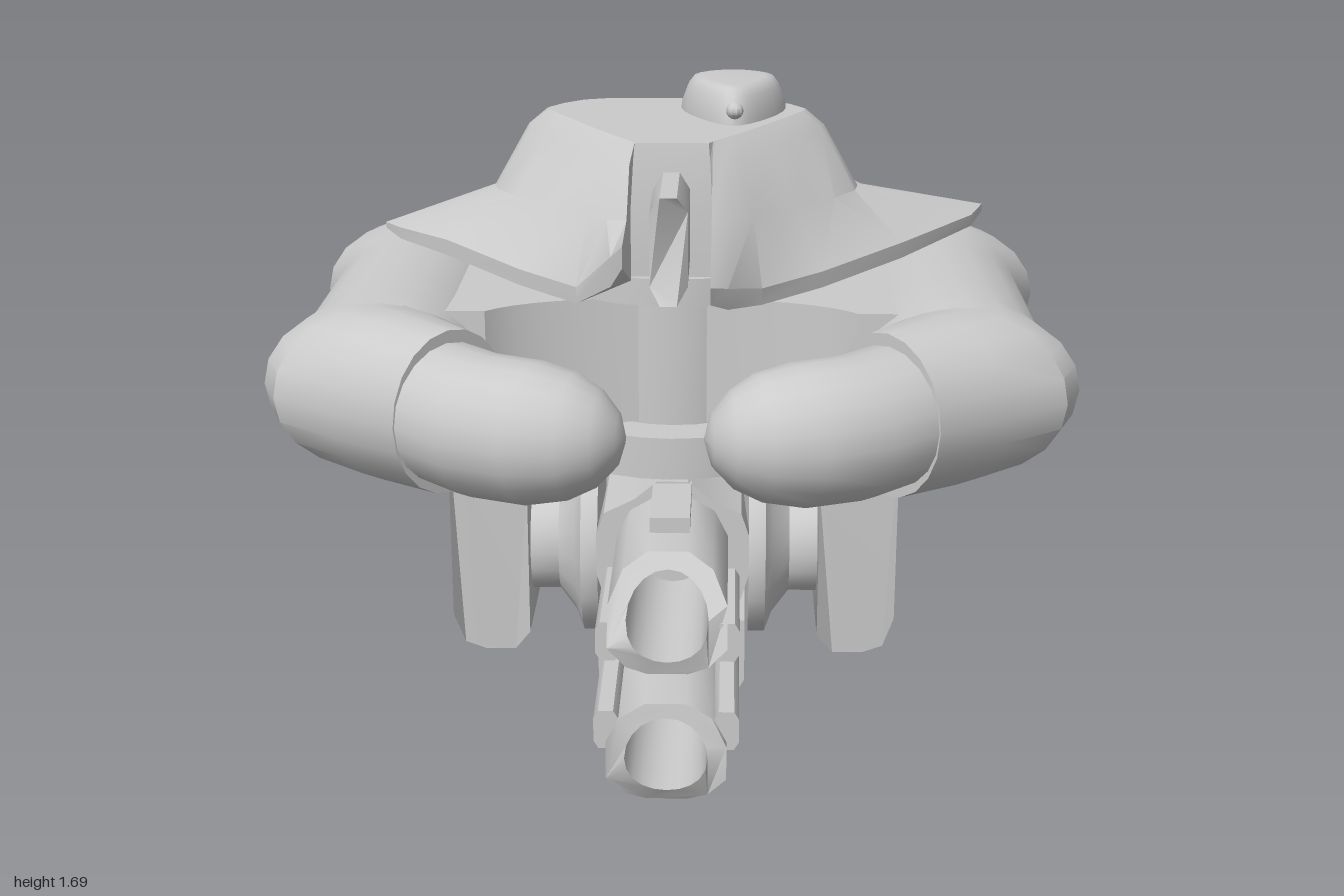
import * as THREE from 'three';
import { toCreasedNormals } from 'three/addons/utils/BufferGeometryUtils.js';

const V = (x, y, z) => new THREE.Vector3(x, y, z);
const material = new THREE.MeshStandardMaterial({ color: 0xcccccc, side: THREE.DoubleSide });

function add(parent, name, geometry, crease = 0.6) {
  const mesh = new THREE.Mesh(toCreasedNormals(geometry, crease), material);
  mesh.name = name;
  parent.add(mesh);
  return mesh;
}

// Skin a stack of closed rings, cap both ends and face it outwards.
function loft(rings, horizontalCaps = false) {
  const n = rings[0].length, pos = [], idx = [];
  rings.forEach(r => r.forEach(p => pos.push(p.x, p.y, p.z)));
  for (let k = 0; k < rings.length - 1; k++) {
    for (let i = 0; i < n; i++) {
      const a = k * n + i, b = k * n + (i + 1) % n;
      idx.push(a, b, b + n, a, b + n, a + n);
    }
  }
  const cap = (k, reverse) => {
    const flat = rings[k].map(p => new THREE.Vector2(p.x, horizontalCaps ? p.z : p.y));
    const flip = (THREE.ShapeUtils.area(flat) < 0) !== reverse;
    for (const [a, b, c] of THREE.ShapeUtils.triangulateShape(flat, [])) {
      idx.push(k * n + a, k * n + (flip ? c : b), k * n + (flip ? b : c));
    }
  };
  cap(0, true);
  cap(rings.length - 1, false);
  const at = i => V(pos[3 * i], pos[3 * i + 1], pos[3 * i + 2]);
  let volume = 0;
  for (let i = 0; i < idx.length; i += 3) volume += at(idx[i]).dot(at(idx[i + 1]).cross(at(idx[i + 2])));
  if (volume < 0) idx.reverse();
  const g = new THREE.BufferGeometry();
  g.setAttribute('position', new THREE.Float32BufferAttribute(pos, 3));
  g.setIndex(idx);
  return g;
}

// Extrude a half outline mirrored across x = 0, from z0 to z1.
function extrudeMirrored(half, z0, z1, hole) {
  const pts = [...half, ...half.map(([x, y]) => [-x, y]).reverse()];
  const shape = new THREE.Shape(pts.map(p => new THREE.Vector2(...p)));
  if (hole) shape.holes.push(new THREE.Path().absarc(0, hole[0], hole[1], 0, Math.PI * 2, true));
  return new THREE.ExtrudeGeometry(shape, { depth: z1 - z0, bevelEnabled: false, curveSegments: 10 }).translate(0, 0, z0);
}

function moveVertices(g, rule) {
  const p = g.attributes.position;
  for (let i = 0; i < p.count; i++) p.setXYZ(i, ...rule(p.getX(i), p.getY(i), p.getZ(i)));
  return g;
}

// Upright ring across a horizontal path; outer and inner reach can differ.
function podRing(s, [x, z, dx, dz, outer, inner, ry]) {
  const len = Math.hypot(dx, dz);
  return Array.from({ length: 20 }, (_, i) => {
    const a = i / 20 * Math.PI * 2, c = Math.cos(a), w = c * (c > 0 ? outer : inner);
    return V(s * (x + dx / len * w), 1.04 + Math.sin(a) * ry, z + dz / len * w);
  });
}

const ellipse = (x, y, z, rx, ry) => Array.from({ length: 20 }, (_, i) =>
  V(x + rx * Math.cos(i * Math.PI / 10), y + ry * Math.sin(i * Math.PI / 10), z));

function sidePod(s) {
  const pod = new THREE.Group();
  pod.name = s > 0 ? 'leftPod' : 'rightPod';
  // Bent housing with a ridge at each corner
  const half = [[0.51, 0.64, 0.67, 0.74, 0.175, 0.175, 0.2], [0.65, 0.52, 0.7, 0.71, 0.2, 0.22, 0.21],
    [0.72, 0.45, 0.92, 0.4, 0.25, 0.24, 0.205], [0.72, 0.42, 1, 0.06, 0.275, 0.245, 0.205],
    [0.72, 0.32, 1, 0, 0.225, 0.26, 0.208], [0.71, 0.18, 1, 0, 0.235, 0.25, 0.21]];
  const back = half.map(([x, z, dx, dz, ...r]) => [x, -z, dx, -dz, ...r]);
  add(pod, 'podHousing', loft([...back, ...half.slice().reverse()].map(r => podRing(s, r))), 0.5);
  // Rounded end arms
  for (const f of [-1, 1]) {
    const t = f > 0 ? [-0.06, 0] : [0, 0];
    const arm = [[0.54, 0.62, 0.67, 0.74, 0.165], [0.42, 0.735, 0.6, 0.8, 0.165],
      [0.33 + t[0] * 0.5, 0.785, 0.4, 0.9, 0.163], [0.27 + t[0], 0.805, 0.25, 0.97, 0.143],
      [0.21 + t[0], 0.815, 0.15, 1, 0.11], [0.165 + t[0], 0.82, 0.1, 1, 0.06], [0.15 + t[0], 0.82, 0.05, 1, 0.01]];
    add(pod, f > 0 ? 'frontArm' : 'rearArm',
      loft(arm.map(([x, z, dx, dz, r]) => podRing(s, [x, f * z, dx, f * dz, r, r, r * 1.03]))), 0.8);
  }
  return pod;
}

function hull() {
  // Columns around one side: rim x z y, underside y, mid x z y, top x z
  const side = [
    [0.10, 0.30, 1.30, 1.27, 0.10, 0.30, 1.45, 0.09, 0.28], [0.10, 0.73, 1.37, 1.33, 0.10, 0.50, 1.47, 0.10, 0.26],
    [0.14, 0.66, 1.35, 1.30, 0.15, 0.45, 1.46, 0.11, 0.24], [0.22, 0.51, 1.31, 1.27, 0.20, 0.37, 1.45, 0.15, 0.18],
    [0.37, 0.35, 1.31, 1.27, 0.30, 0.22, 1.44, 0.22, 0.06], [0.58, 0.10, 1.32, 1.28, 0.41, 0.03, 1.42, 0.29, -0.07],
    [0.79, -0.21, 1.32, 1.29, 0.47, -0.10, 1.41, 0.33, -0.15], [0.83, -0.32, 1.325, 1.305, 0.48, -0.16, 1.41, 0.34, -0.18],
    [0.59, -0.22, 1.35, 1.28, 0.47, -0.20, 1.41, 0.33, -0.20], [0.47, -0.32, 1.35, 1.27, 0.42, -0.28, 1.43, 0.30, -0.25],
    [0.40, -0.52, 1.36, 1.27, 0.34, -0.40, 1.45, 0.25, -0.30], [0.25, -0.60, 1.36, 1.27, 0.20, -0.43, 1.46, 0.18, -0.325]];
  // The other side has a raised prong and a shorter wing
  const other = side.map(c => [...c]);
  const change = { 1: [0.10, 0.71, 1.46, 1.41], 2: [0.13, 0.65, 1.42, 1.35], 6: [0.72, -0.03, 1.32, 1.29],
    7: [0.77, -0.11, 1.315, 1.30], 8: [0.60, -0.13, 1.34, 1.28] };
  for (const k in change) other[k].splice(0, 4, ...change[k]);
  const cols = [...side.map(c => [1, c]), ...other.reverse().map(c => [-1, c])];
  const rings = [[], [], [], [], []];
  for (const [s, [x, z, y, low, mx, mz, my, tx, tz]] of cols) {
    rings[0].push(V(s * x, low, z));
    rings[1].push(V(s * x, y, z));
    rings[2].push(V(s * mx, my, mz));
    rings[3].push(V(s * (mx * 0.35 + tx * 0.65), 1.57, mz * 0.35 + tz * 0.65));
    rings[4].push(V(s * tx, 1.61, tz));
  }
  return loft(rings, true);
}

function cannon() {
  const gun = new THREE.Group();
  gun.name = 'twinCannon';
  const upper = [[0.04, 0.71], [0.1, 0.66], [0.18, 0.62], [0.2, 0.56], [0.2, 0.45], [0.18, 0.38]];
  const lower = [[0.19, 0.37], [0.19, 0.2], [0.15, 0.13], [0.09, 0.07], [0.04, 0.01]];
  add(gun, 'upperHousing', extrudeMirrored(upper, -0.41, 0.22));
  add(gun, 'lowerHousing', extrudeMirrored(lower, -0.41, 0.33));
  // Tapered, hollow rear nozzles
  for (const [name, y0, rx, ry, y, r] of [['upperNozzle', 0.55, 0.19, 0.16, 0.565, 0.09], ['lowerNozzle', 0.195, 0.18, 0.185, 0.2, 0.12]]) {
    add(gun, name, loft([ellipse(0, y0, -0.4, rx, ry), ellipse(0, y, -0.58, r, r),
      ellipse(0, y, -0.58, r * 0.7, r * 0.7), ellipse(0, y, -0.45, r * 0.65, r * 0.65)]));
  }
  // Barrels with slanted muzzles and side rails
  for (const [name, y, z0, z1, slant, railY, r0, r1] of [['upperBarrel', 0.53, 0.2, 0.72, 0.14, 0.47, 0.34, 0.68],
    ['lowerBarrel', 0.225, 0.3, 0.81, 0.05, 0.285, 0.43, 0.78]]) {
    const outline = [[0.05, 0.135], [0.11, 0.1], [0.145, 0.03], [0.145, -0.06], [0.1, -0.115], [0.05, -0.135]];
    const g = extrudeMirrored(outline.map(([a, b]) => [a, y + b]), z0, z1, [y, 0.1]);
    const top = y > 0.4;
    add(gun, name, moveVertices(g, (px, py, pz) => {
      const d = (py - y) / 0.135;
      const cut = top ? Math.max(0, d + 0.3) / 1.3 * slant + Math.max(0, -d - 0.5) * 0.04
        : Math.max(0, -d) ** 2 * slant + Math.max(0, d) * 0.02;
      return [px, py, pz > z0 + 0.1 ? pz - cut : pz];
    }));
    for (const s of [-1, 1]) {
      const rail = extrudeMirrored([[0.018, 0.05], [0.03, 0.03], [0.03, -0.03], [0.018, -0.05]], r0, r1);
      add(gun, 'sideRail', rail.translate(s * 0.145, railY, 0));
    }
  }
  add(gun, 'topRail', new THREE.BoxGeometry(0.1, 0.07, 0.26).translate(0, 0.67, 0.33));
  add(gun, 'bottomRail', new THREE.BoxGeometry(0.1, 0.06, 0.22).translate(0, 0.09, 0.42));
  // Trunnions joining the cannon to the yoke
  const profile = [[0, 0.17], [0.255, 0.2], [0.255, 0.245], [0.2, 0.265], [0.14, 0.31], [0.14, 0.4]].map(p => new THREE.Vector2(...p));
  for (const s of [-1, 1]) {
    const g = new THREE.LatheGeometry(profile, 16).rotateZ(-s * Math.PI / 2).scale(1, 1, 0.82);
    add(gun, 'trunnion', g.translate(0, 0.455, -0.015), 0.4);
  }
  return gun;
}

export function createModel() {
  const model = new THREE.Group();
  model.name = 'gunTurret';
  for (const s of [-1, 1]) model.add(sidePod(s));

  // Hub flaring out to the pods
  const plan = new THREE.Shape();
  plan.moveTo(0.6, 0.34);
  plan.lineTo(0.46, 0.34);
  plan.quadraticCurveTo(0.36, 0.22, 0, 0.2);
  plan.quadraticCurveTo(-0.36, 0.22, -0.46, 0.34);
  plan.lineTo(-0.6, 0.34);
  plan.lineTo(-0.6, -0.34);
  plan.lineTo(-0.46, -0.34);
  plan.quadraticCurveTo(-0.36, -0.22, 0, -0.2);
  plan.quadraticCurveTo(0.36, -0.22, 0.46, -0.34);
  plan.lineTo(0.6, -0.34);
  const hub = new THREE.ExtrudeGeometry(plan, { depth: 0.33, bevelEnabled: false, curveSegments: 8 });
  add(model, 'hub', hub.rotateX(-Math.PI / 2).translate(0, 0.87, 0));
  add(model, 'column', new THREE.CylinderGeometry(0.24, 0.24, 0.4, 24).translate(0, 1.04, -0.015));
  add(model, 'turretRing', new THREE.CylinderGeometry(0.34, 0.34, 0.07, 28).translate(0, 1.245, -0.015));

  // Yoke holding the cannon
  const yoke = extrudeMirrored([[0.59, 0.865], [0.59, 0.3], [0.565, 0.2], [0.51, 0.18], [0.43, 0.18],
    [0.385, 0.25], [0.385, 0.66], [0.3, 0.7], [0.3, 0.755]].reverse(), -0.17, 0.17);
  add(model, 'yoke', moveVertices(yoke, (x, y, z) => [x, y, z * (y < 0.22 ? 0.75 : 1) - 0.015]));
  add(model, 'yokeDisc', new THREE.CylinderGeometry(0.345, 0.345, 0.11, 28).translate(0, 0.812, -0.015));
  model.add(cannon());

  // Armoured shell with a fin in its front slot
  add(model, 'shell', hull(), 0.55);
  const fin = extrudeMirrored([[0.02, 1.54], [0.045, 1.5], [0.045, 1.32], [0.02, 1.28]], 0.26, 0.57);
  add(model, 'frontFin', moveVertices(fin, (x, y, z) => [x, y, z > 0.4 && Math.abs(x) > 0.03 ? z - 0.03 : z]));

  // Egg-shaped cupola with a small lamp
  const egg = (y, k) => Array.from({ length: 24 }, (_, i) => {
    const a = i * Math.PI / 12, c = Math.cos(a), n = Math.sin(a);
    return V(0.15 + c * (0.115 - 0.05 * n) * k * 1.12, y, -0.135 + n * 0.195 * k);
  });
  add(model, 'cupola', loft([egg(1.59, 1), egg(1.63, 0.98), egg(1.675, 0.86), egg(1.695, 0.75), egg(1.7, 0.62)], true), 0.7);
  add(model, 'cupolaLamp', new THREE.SphereGeometry(0.022, 10, 8).translate(0.153, 1.647, 0.05));
  return model;
}
